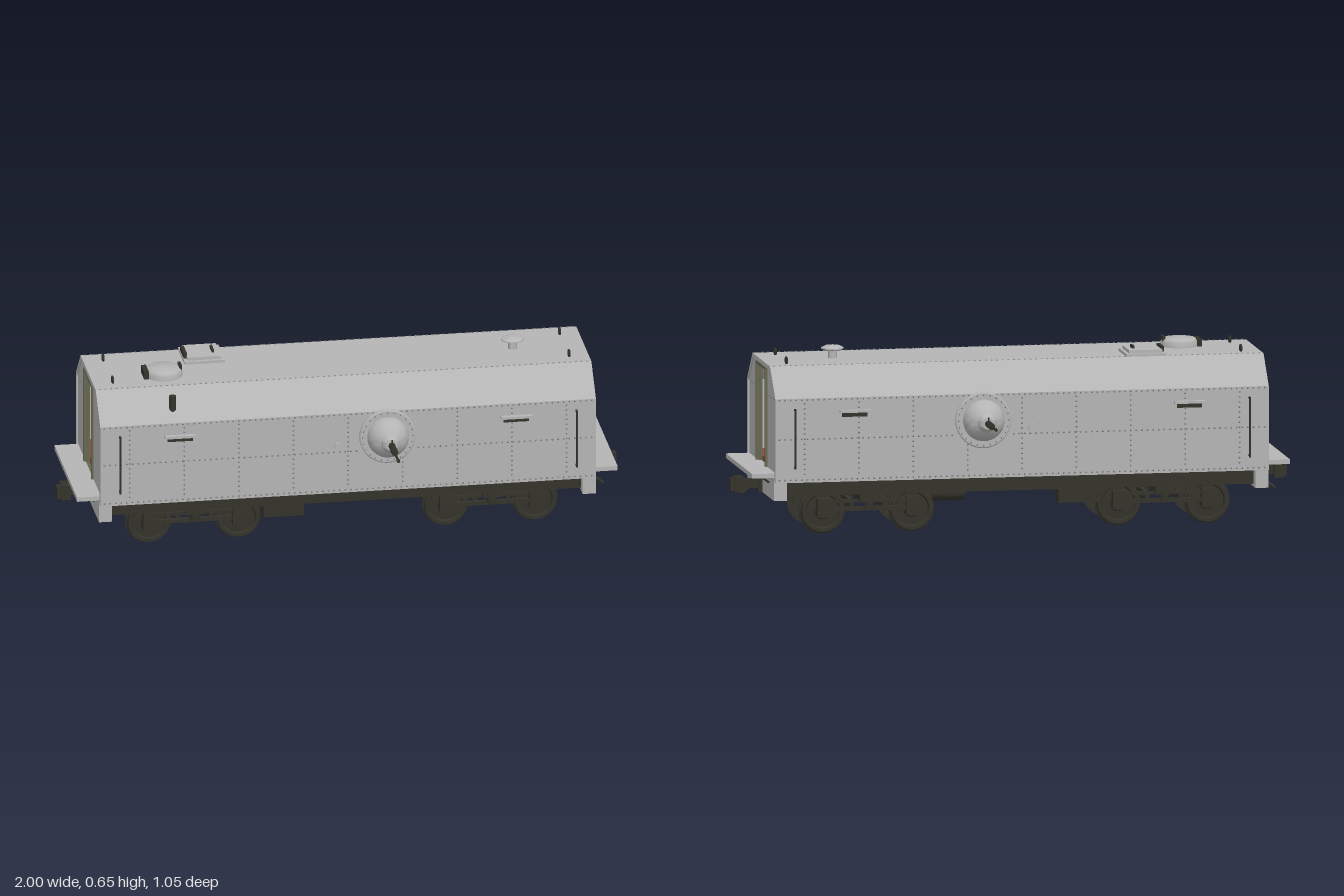
import * as THREE from 'three';
import { mergeGeometries, toCreasedNormals } from 'three/addons/utils/BufferGeometryUtils.js';

const mat = (name, color, side = THREE.FrontSide) => {
  const m = new THREE.MeshStandardMaterial({ color, side });
  m.name = name;
  return m;
};

export function createModel() {
  const grey = mat('armour grey', 0xb4b4b4);
  const rivetGrey = mat('rivet grey', 0x858585);
  const dark = mat('dark running gear', 0x33322a);
  const olive = mat('olive frame', 0x666652);
  const brown = mat('wood floor', 0x8f4c34);
  const model = new THREE.Group();
  model.name = 'armouredRailWagon';

  const add = (name, geo, m, parent = model) => {
    const mesh = new THREE.Mesh(geo, m);
    mesh.name = name;
    parent.add(mesh);
    return mesh;
  };
  // box given by its extents on each axis
  const box = (name, m, x0, x1, y0, y1, z0, z1, parent) => {
    const b = add(name, new THREE.BoxGeometry(x1 - x0, y1 - y0, z1 - z0), m, parent);
    b.position.set((x0 + x1) / 2, (y0 + y1) / 2, (z0 + z1) / 2);
    return b;
  };
  // cylinder running between two points
  const rod = (name, m, a, b, r, parent, seg = 12, r2 = r) => {
    const p = new THREE.Vector3(...a), q = new THREE.Vector3(...b);
    const c = add(name, new THREE.CylinderGeometry(r2, r, p.distanceTo(q), seg), m, parent);
    c.position.copy(p).add(q).multiplyScalar(0.5);
    c.quaternion.setFromUnitVectors(new THREE.Vector3(0, 1, 0), q.sub(p).normalize());
    return c;
  };
  const lathe = (pts, seg = 32, crease = 0.6) =>
    toCreasedNormals(new THREE.LatheGeometry(pts.map(p => new THREE.Vector2(...p)), seg), crease);

  // ---- Hull: an eight-cornered tube along x, closed by end walls with doorways
  const profile = (t = 0) => [
    [-0.272 + t, 0.205 + t], [0.272 - t, 0.205 + t], [0.272 - t, 0.505 - t * 0.4],
    [0.17 - t * 0.4, 0.607 - t], [-0.17 + t * 0.4, 0.607 - t], [-0.272 + t, 0.505 - t * 0.4],
  ].map(p => new THREE.Vector2(...p));
  const extrudeX = (shape, depth) => new THREE.ExtrudeGeometry(shape, { depth, bevelEnabled: false })
    .translate(0, 0, -depth / 2).rotateY(Math.PI / 2);
  const shell = new THREE.Shape(profile());
  shell.holes.push(new THREE.Path(profile(0.014)));
  add('hullShell', extrudeX(shell, 1.77), grey);
  const rectPath = (w, y0, y1, Type) => new Type([[-w, y0], [w, y0], [w, y1], [-w, y1]]
    .map(p => new THREE.Vector2(...p)));
  for (const s of [-1, 1]) {
    const wall = new THREE.Shape(profile(0.013));
    wall.holes.push(rectPath(0.088, 0.236, 0.588, THREE.Path));
    add('endWall', extrudeX(wall, 0.012), grey).position.x = s * 0.874;
    const frame = rectPath(0.092, 0.233, 0.592, THREE.Shape);
    frame.holes.push(rectPath(0.083, 0.236, 0.583, THREE.Path));
    add('doorFrame', extrudeX(frame, 0.022), olive).position.x = s * 0.877;
  }
  box('woodFloor', brown, -0.865, 0.865, 0.22, 0.254, -0.255, 0.255);

  // ---- Rivets, merged into one mesh
  const rivets = [];
  const bead = new THREE.SphereGeometry(0.0034, 6, 4);
  const rivet = (x, y, z) => rivets.push(bead.clone().translate(x, y, z));
  for (const s of [-1, 1]) {
    for (let x = -0.87; x <= 0.871; x += 0.02) {
      rivet(x, 0.215, s * 0.272);
      rivet(x, 0.5, s * 0.272);
      rivet(x, 0.607, s * 0.167);
      if (Math.abs(x - 0.14) > 0.1) rivet(x, 0.36, s * 0.272);
    }
    for (let i = -4; i <= 4; i++)
      for (let y = 0.235; y < 0.49; y += 0.018)
        if (Math.hypot(i * 0.195 - 0.14, y - 0.412) > 0.1) rivet(i * 0.195, y, s * 0.272);
    for (let i = 0; i < 24; i++) {
      const a = i * Math.PI / 12;
      rivet(0.14 + 0.09 * Math.cos(a), 0.412 + 0.09 * Math.sin(a), s * 0.284);
    }
    for (let z = 0.11; z < 0.26; z += 0.024)
      for (const t of [-1, 1]) rivet(s * 0.88, 0.5, t * z);
    for (let z = -0.24; z < 0.25; z += 0.024) rivet(s * 0.885, 0.214, z);
  }
  add('rivets', mergeGeometries(rivets), rivetGrey);

  // ---- Side fittings: ball gun mounts, vision slits, handrails, peepholes
  for (const s of [-1, 1]) {
    const gun = new THREE.Group();
    gun.name = 'gunMount';
    gun.position.set(0.14, 0.412, 0);
    gun.rotation.y = s > 0 ? 0 : Math.PI;
    model.add(gun);
    add('mountRing', lathe([[0.1, 0.268], [0.1, 0.282], [0.096, 0.285], [0.07, 0.285]], 40).rotateX(Math.PI / 2), grey, gun);
    add('ballShield', lathe([[0.073, 0.27], [0.074, 0.288], [0.071, 0.305], [0.064, 0.322], [0.053, 0.337],
      [0.038, 0.348], [0.033, 0.352], [0.03, 0.362], [0.021, 0.37], [0, 0.372]], 40).rotateX(Math.PI / 2), grey, gun);
    rod('barrel', dark, [0, 0, 0.36], [0, 0, 0.526], 0.0045, gun);
    rod('coolingJacket', dark, [0, 0, 0.365], [0, 0, 0.44], 0.008, gun);
    for (let i = 0; i < 9; i++)
      rod('jacketRib', dark, [0, 0, 0.374 + i * 0.008], [0, 0, 0.378 + i * 0.008], 0.012, gun);
    rod('muzzle', dark, [0, 0, 0.512], [0, 0, 0.526], 0.006, gun);
    box('gunSight', dark, -0.002, 0.002, 0.005, 0.025, 0.382, 0.388, gun);
    box('gunBreech', dark, -0.018, 0.018, -0.025, 0.02, 0.17, 0.265, gun);

    const zs = (name, m, x0, x1, y0, y1, a, b) =>
      box(name, m, x0, x1, y0, y1, Math.min(s * a, s * b), Math.max(s * a, s * b));
    for (const e of [-1, 1]) {
      const x = e * 0.6;
      zs('visionSlit', dark, x - 0.045, x + 0.045, 0.436, 0.45, 0.27, 0.275);
      zs('slitHood', grey, x - 0.055, x + 0.055, 0.452, 0.461, 0.27, 0.29);
      rod('handrail', dark, [e * 0.815, 0.255, s * 0.287], [e * 0.815, 0.47, s * 0.287], 0.004);
      for (const y of [0.26, 0.465])
        rod('handrailFoot', dark, [e * 0.815, y, s * 0.268], [e * 0.815, y, s * 0.287], 0.004);
      // roof lifting eyes
      const eye = add('liftingEye', new THREE.TorusGeometry(0.011, 0.004, 8, 16).rotateY(Math.PI / 2), dark);
      eye.position.set(e * 0.815, 0.618, s * 0.107);
    }
    rod('peepholeCover', grey, [-0.037, 0.382, s * 0.268], [-0.037, 0.382, s * 0.281], 0.014, model, 20);
  }

  // ---- Roof fittings
  const hatch = add('roundHatch', lathe([[0.066, 0.6], [0.066, 0.625], [0.062, 0.632], [0.055, 0.637], [0, 0.64]]), grey);
  hatch.position.set(-0.625, 0, 0.06);
  box('hatchHinge', dark, -0.7, -0.683, 0.605, 0.635, 0.025, 0.095);
  box('hatchHandle', dark, -0.572, -0.562, 0.625, 0.645, 0.04, 0.08);
  box('squareHatchBase', grey, -0.537, -0.393, 0.6, 0.617, -0.17, -0.022);
  box('squareHatchLid', grey, -0.525, -0.405, 0.617, 0.628, -0.158, -0.034);
  box('squareHatchHinge', dark, -0.535, -0.523, 0.615, 0.636, -0.135, -0.055);
  box('squareHatchHandle', dark, -0.432, -0.424, 0.626, 0.638, -0.12, -0.07);
  const vent = add('mushroomVent', lathe([[0, 0.562], [0.02, 0.562], [0.02, 0.585], [0.016, 0.587], [0.016, 0.634],
    [0.04, 0.64], [0.04, 0.644], [0.026, 0.651], [0, 0.655]]), grey);
  vent.position.set(0.63, 0, 0);
  rod('stovePipe', dark, [-0.62, 0.535, 0.228], [-0.62, 0.592, 0.228], 0.013, model, 16);

  // ---- Interior ladder below the square hatch
  for (const z of [-0.05, -0.14]) box('ladderRail', olive, -0.47, -0.458, 0.254, 0.6, z - 0.004, z + 0.004);
  for (let y = 0.295; y < 0.59; y += 0.053) rod('ladderRung', dark, [-0.464, y, -0.05], [-0.464, y, -0.14], 0.005);

  // ---- Ends: platform, headstock, coupler; the same at both ends by half a turn
  for (const turn of [0, Math.PI]) {
    const end = new THREE.Group();
    end.name = 'wagonEnd';
    end.rotation.y = turn;
    model.add(end);
    box('platform', grey, 0.88, 0.965, 0.222, 0.238, -0.255, 0.255, end);
    box('headstock', grey, 0.84, 0.887, 0.14, 0.212, -0.257, 0.257, end);
    box('couplerPocket', dark, 0.884, 0.9, 0.14, 0.2, -0.03, 0.03, end);
    box('couplerShank', dark, 0.89, 0.96, 0.152, 0.184, -0.016, 0.016, end);
    box('couplerHead', dark, 0.95, 0.985, 0.14, 0.193, -0.028, 0.028, end);
    box('couplerKnuckle', dark, 0.98, 1, 0.145, 0.188, -0.025, 0.008, end);
    rod('uncouplingRod', dark, [0.895, 0.199, -0.195], [0.895, 0.199, 0.07], 0.004, end);
    rod('brakeHose', dark, [0.885, 0.158, 0.1], [0.938, 0.116, 0.1], 0.006, end);
  }

  // ---- Underframe
  for (const s of [-1, 1]) {
    box('sideSill', dark, -0.84, 0.84, 0.15, 0.206, s * 0.2 - 0.02, s * 0.2 + 0.02);
    box('centreSill', dark, -0.84, 0.84, 0.155, 0.206, s * 0.06 - 0.012, s * 0.06 + 0.012);
    box('equipmentBox', dark, -0.29, -0.145, 0.097, 0.152, s * 0.16 - 0.035, s * 0.16 + 0.035);
    rod('airTank', dark, [0.175, 0.132, s * 0.09], [0.39, 0.132, s * 0.09], 0.03, model, 20);
  }
  for (const x of [-0.8, -0.53, -0.3, -0.1, 0.1, 0.3, 0.53, 0.8])
    box('crossMember', dark, x - 0.015, x + 0.015, 0.16, 0.206, -0.185, 0.185);

  // ---- Bogies
  const wheelGeo = lathe([[0, -0.006], [0.03, -0.012], [0.034, -0.005], [0.06, -0.004], [0.064, -0.012], [0.082, -0.012],
    [0.082, -0.005], [0.076, -0.001], [0.074, 0.014], [0.062, 0.014], [0.058, 0.005], [0.03, 0.006], [0.026, 0.013], [0, 0.013]], 32)
    .rotateX(Math.PI / 2);
  for (const bx of [-0.53, 0.53]) {
    const bogie = new THREE.Group();
    bogie.name = 'bogie';
    bogie.position.x = bx;
    model.add(bogie);
    for (const wx of [-0.16, 0.16]) {
      rod('axle', dark, [wx, 0.082, -0.16], [wx, 0.082, 0.16], 0.011, bogie);
      for (const s of [-1, 1]) {
        const w = add('wheel', wheelGeo, dark, bogie);
        w.position.set(wx, 0.082, s * 0.126);
        w.rotation.y = s > 0 ? 0 : Math.PI;
        box('axleBox', dark, wx - 0.026, wx + 0.026, 0.066, 0.13, s * 0.16 - 0.016, s * 0.16 + 0.016, bogie);
      }
    }
    box('bolster', dark, -0.035, 0.035, 0.118, 0.15, -0.185, 0.185, bogie);
    for (const s of [-1, 1]) {
      box('lowerSideBar', dark, -0.16, 0.16, 0.084, 0.098, s * 0.158 - 0.008, s * 0.158 + 0.008, bogie);
      box('upperSideBar', dark, -0.16, 0.16, 0.113, 0.124, s * 0.158 - 0.008, s * 0.158 + 0.008, bogie);
      box('bogieCrossBar', dark, s * 0.06 - 0.008, s * 0.06 + 0.008, 0.088, 0.122, -0.155, 0.155, bogie);
      rod('spring', dark, [0, 0.09, s * 0.16], [0, 0.125, s * 0.16], 0.018, bogie);
    }
  }
  return model;
}
